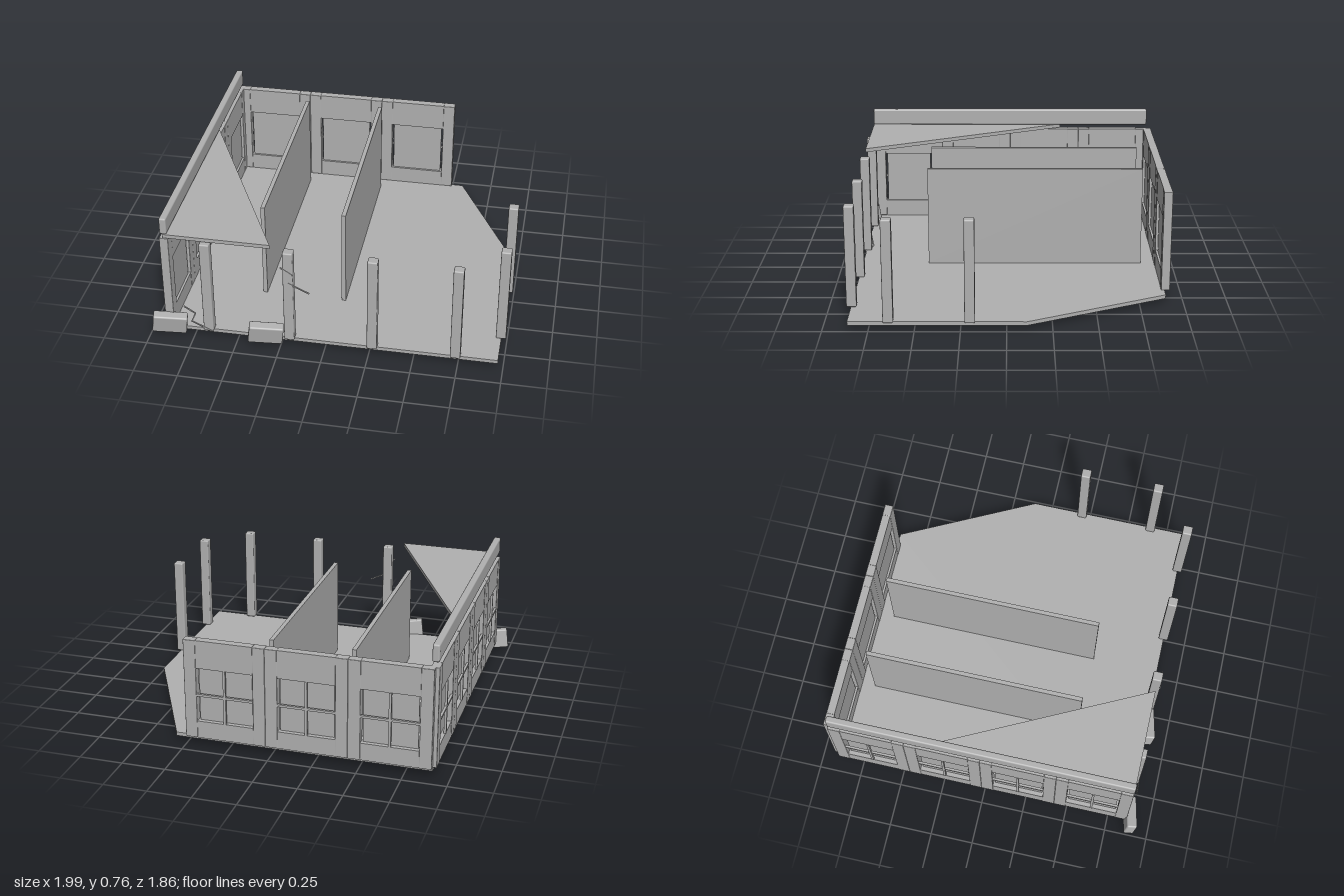
import * as THREE from 'three';
import { RoundedBoxGeometry } from 'three/addons/geometries/RoundedBoxGeometry.js';

const FLOOR = 0.053, TOP = 0.64;

export function createModel() {
  const model = new THREE.Group();
  model.name = 'ruinedBuilding';
  const concrete = new THREE.MeshStandardMaterial({ color: 0xb0b0b0 });
  concrete.name = 'concreteGrey';

  const add = (parent, name, geometry, x = 0, y = 0, z = 0) => {
    const mesh = new THREE.Mesh(geometry, concrete);
    mesh.name = name;
    mesh.position.set(x, y, z);
    parent.add(mesh);
    return mesh;
  };
  const box = (w, h, d) => new THREE.BoxGeometry(w, h, d);
  const rounded = (w, h, d, r = 0.008) => new RoundedBoxGeometry(w, h, d, 2, r);

  // Flat slab from an [x, z] outline
  const slab = (name, outline, y, thickness) => {
    const shape = new THREE.Shape(outline.map(([x, z]) => new THREE.Vector2(x, -z)));
    const geometry = new THREE.ExtrudeGeometry(shape, { depth: thickness, bevelEnabled: false });
    geometry.rotateX(-Math.PI / 2);
    add(model, name, geometry, 0, y, 0);
  };

  slab('floorSlab', [[-0.9, 0.865], [0.97, 0.865], [0.97, -0.11], [0.57, -0.9], [-0.9, -0.9]], 0.031, 0.022);
  slab('roofRemnant', [[-0.9, 0.865], [-0.3, 0.865], [-0.9, -0.34]], 0.645, 0.022);

  // Windowed wall: bays run along local x, outside faces local +z
  const WIN_LOW = 0.155, WIN_HIGH = 0.475, POST = 0.07;
  const windowWall = (name, bays, bayWidth) => {
    const wall = new THREE.Group();
    wall.name = name;
    const open = bayWidth - 2 * POST;
    const midY = (WIN_LOW + WIN_HIGH) / 2, winH = WIN_HIGH - WIN_LOW;
    for (let i = 0; i < bays; i++) {
      const x = (i - (bays - 1) / 2) * bayWidth;
      for (const side of [-1, 1]) {
        add(wall, 'wallPost', rounded(POST, TOP - FLOOR, 0.05, 0.003),
          x + side * (bayWidth - POST) / 2, (FLOOR + TOP) / 2, 0);
      }
      add(wall, 'wallSill', box(open, WIN_LOW - FLOOR, 0.046), x, (FLOOR + WIN_LOW) / 2, 0);
      add(wall, 'wallLintel', box(open, TOP - WIN_HIGH, 0.046), x, (WIN_HIGH + TOP) / 2, 0);
      add(wall, 'windowPane', box(open - 0.02, winH, 0.008), x, midY, -0.006);
      add(wall, 'windowMullion', box(0.014, winH, 0.014), x, midY, 0.02);
      add(wall, 'windowCrossbar', box(open, 0.014, 0.014), x, midY, 0.02);
    }
    model.add(wall);
    return wall;
  };

  const backWall = windowWall('backWall', 3, 1.4 / 3);
  backWall.position.set(-0.2, 0, -0.905);
  backWall.rotation.y = Math.PI;

  const sideWall = windowWall('sideWall', 4, 0.441);
  sideWall.position.set(-0.897, 0, -0.018);
  sideWall.rotation.y = -Math.PI / 2;

  // Parapet along the side wall
  add(model, 'parapet', rounded(0.04, 0.1, 1.766, 0.01), -0.897, 0.718, -0.017);

  // Interior partitions
  for (const x of [-0.432, 0.034]) {
    add(model, 'partition', box(0.024, TOP - FLOOR, 1.27), x, (FLOOR + TOP) / 2, -0.165);
  }

  // Free-standing pillars on the open sides
  const pillars = [[-0.665, 0.862], [-0.2, 0.862], [0.268, 0.862], [0.734, 0.862], [0.967, 0.2], [0.967, 0.642]];
  for (const [x, z] of pillars) {
    add(model, 'pillar', rounded(0.057, TOP - FLOOR, 0.057), x, (FLOOR + TOP) / 2, z);
  }

  // Fallen blocks at the front
  for (const x of [-0.893, -0.337]) {
    const block = add(model, 'rubbleBlock', rounded(0.194, 0.118, 0.06, 0.01), x, 0.077, 0.877);
    block.rotation.set(0.15, 0.2, -0.14);
  }

  // Bent reinforcement strips
  const zigzag = [[-0.08, 0.077], [-0.015, 0.035], [-0.04, -0.022], [0.08, -0.078]];
  for (const [cx, cy] of [[-0.72, 0.133], [-0.16, 0.468]]) {
    const strip = new THREE.Group();
    strip.name = 'bentRebar';
    strip.position.set(cx, cy, 0.89);
    for (let i = 0; i < zigzag.length - 1; i++) {
      const [x0, y0] = zigzag[i], [x1, y1] = zigzag[i + 1];
      const dx = x1 - x0, dy = y1 - y0;
      const piece = add(strip, 'rebarSegment', box(Math.hypot(dx, dy), 0.007, 0.006), (x0 + x1) / 2, (y0 + y1) / 2, 0);
      piece.rotation.z = Math.atan2(dy, dx);
    }
    model.add(strip);
  }

  return model;
}
